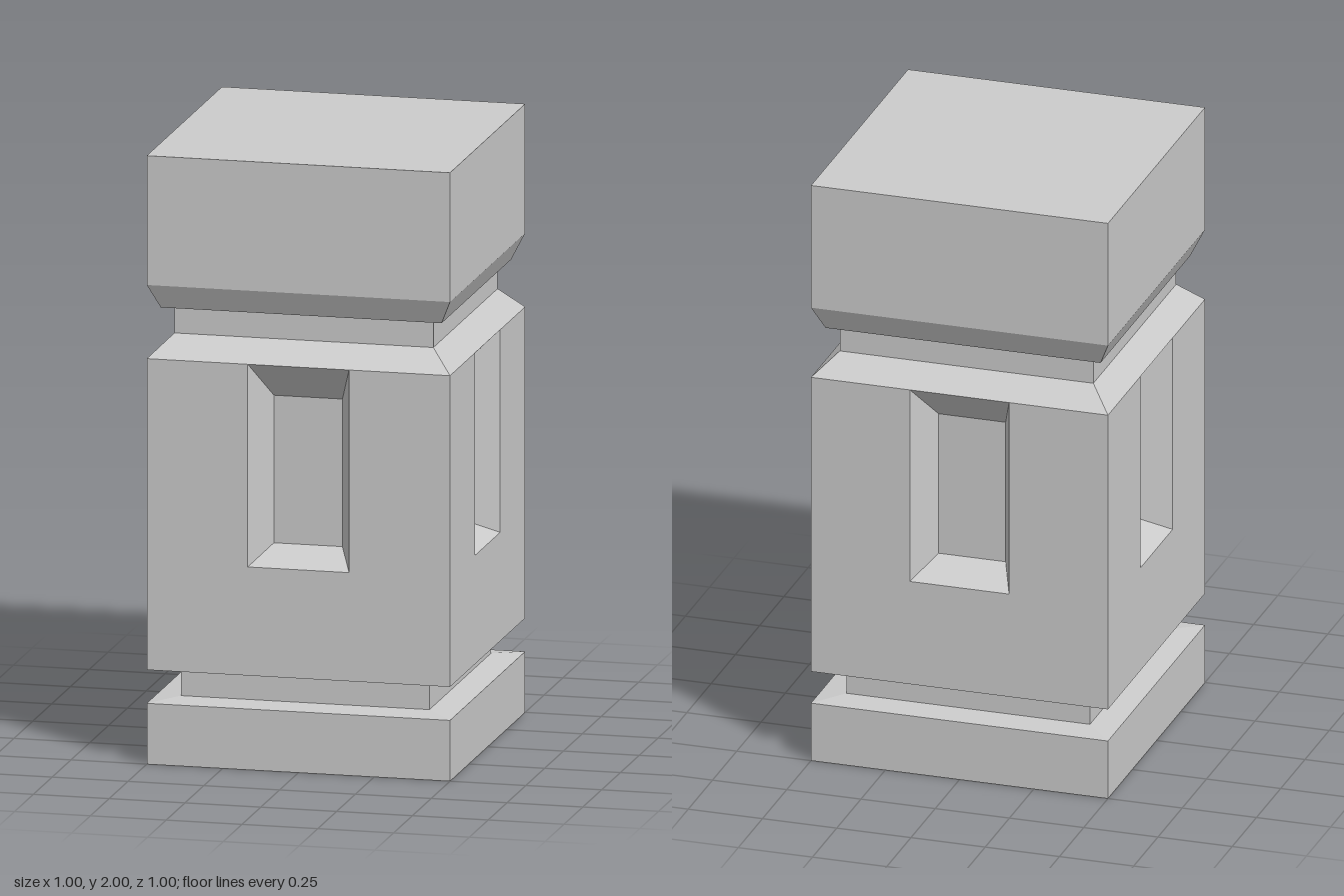
import * as THREE from 'three';

const material = new THREE.MeshStandardMaterial({ color: 0xcccccc, flatShading: true });

// Square solid from a list of [half width, height], listed bottom to top
function squareTurned(name, profile) {
  const points = profile.map(([half, y]) => new THREE.Vector2(half * Math.SQRT2, y));
  const geometry = new THREE.LatheGeometry(points, 4, Math.PI / 4).toNonIndexed();
  geometry.computeVertexNormals();
  const mesh = new THREE.Mesh(geometry, material);
  mesh.name = name;
  return mesh;
}

// Four corners of a rectangle facing +z, counter-clockwise from lower left
const rect = (x0, x1, y0, y1, z) => [[x0, y0, z], [x1, y0, z], [x1, y1, z], [x0, y1, z]];

// Front wall of the shaft with a tapered rectangular niche
function nichePanelGeometry() {
  const bottom = 0.31, top = 1.333, z = 0.5;
  const outer = rect(-0.167, 0.167, 0.667, top, z);
  const inner = rect(-0.113, 0.113, 0.72, 1.205, 0.37);
  const quads = [
    rect(-0.5, -0.167, bottom, top, z),
    rect(0.167, 0.5, bottom, top, z),
    rect(-0.167, 0.167, bottom, 0.667, z),
    inner,
  ];
  // Sloping sides of the niche
  for (let i = 0; i < 4; i++) {
    const j = (i + 1) % 4;
    quads.push([outer[i], outer[j], inner[j], inner[i]]);
  }
  const positions = quads.flatMap(([a, b, c, d]) => [a, b, c, a, c, d].flat());
  const geometry = new THREE.BufferGeometry();
  geometry.setAttribute('position', new THREE.Float32BufferAttribute(positions, 3));
  geometry.computeVertexNormals();
  return geometry;
}

export function createModel() {
  const group = new THREE.Group();
  group.name = 'pillar';

  // Plinth with the lower groove
  group.add(squareTurned('base', [
    [0, 0], [0.5, 0], [0.5, 0.2], [0.41, 0.21], [0.41, 0.305], [0.5, 0.31],
  ]));

  // Shaft: the same niche on all four sides
  const shaft = new THREE.Group();
  shaft.name = 'shaft';
  const panel = nichePanelGeometry();
  ['front', 'left', 'back', 'right'].forEach((side, i) => {
    const mesh = new THREE.Mesh(panel, material);
    mesh.name = side + 'NichePanel';
    mesh.rotation.y = i * Math.PI / 2;
    shaft.add(mesh);
  });
  group.add(shaft);

  // Sloped shoulder, neck and capital
  group.add(squareTurned('capital', [
    [0.5, 1.333], [0.427, 1.405], [0.427, 1.488], [0.463, 1.495],
    [0.5, 1.575], [0.5, 2], [0, 2],
  ]));

  return group;
}
